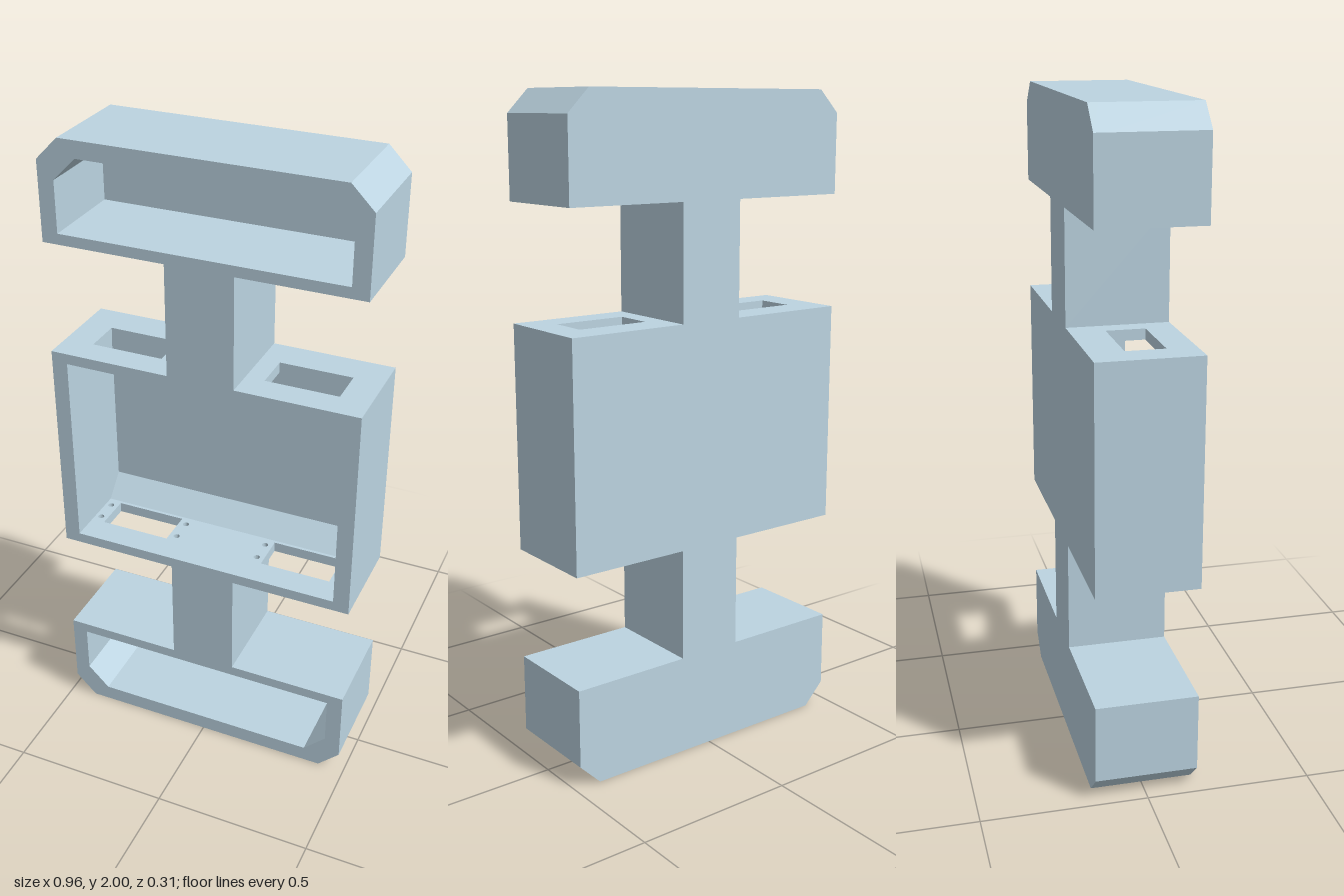
import * as THREE from 'three';

const W = 0.482, ZB = -0.155, ZF = 0.155, ZI = -0.125; // half width, back, front, cavity back
const WALL = 0.033, CAVITY = 0.432;                    // shelf thickness, cavity half width
const Y_TRAY = 0.31, Y_BOX = 0.657, Y_BOX_TOP = 1.343, Y_TOP_TRAY = 1.69;

function polygon(points, Type = THREE.Shape) {
  return new Type(points.map(([x, y]) => new THREE.Vector2(x, y)));
}

// Block outline with its two outer corners cut; dir +1 cuts the top, -1 the bottom
function cutBlock(w, yFlat, yCut, cut, dir, Type) {
  const points = [
    [-w, yFlat], [w, yFlat], [w, yCut - dir * cut], [w - cut, yCut],
    [-w + cut, yCut], [-w, yCut - dir * cut],
  ];
  return polygon(dir > 0 ? points : points.reverse(), Type);
}

function rectangle(x0, x1, y0, y1, Type) {
  return polygon([[x0, y0], [x1, y0], [x1, y1], [x0, y1]], Type);
}

export function createModel() {
  const group = new THREE.Group();
  const paint = new THREE.MeshStandardMaterial({ color: 0xbcd4e1 });
  paint.name = 'pale blue grey';

  const add = (name, geometry) => {
    const mesh = new THREE.Mesh(geometry, paint);
    mesh.name = name;
    group.add(mesh);
  };
  const extrude = (shape, z0, z1) =>
    new THREE.ExtrudeGeometry(shape, { depth: z1 - z0, bevelEnabled: false, curveSegments: 8 })
      .translate(0, 0, z0);
  const box = (x0, x1, y0, y1, z0, z1) =>
    new THREE.BoxGeometry(x1 - x0, y1 - y0, z1 - z0)
      .translate((x0 + x1) / 2, (y0 + y1) / 2, (z0 + z1) / 2);

  // End trays: hollow blocks with cut corners, open at the front
  for (const [name, yFlat, yCut, dir] of [['top', Y_TOP_TRAY, 2, 1], ['bottom', Y_TRAY, 0, -1]]) {
    const rim = cutBlock(W, yFlat, yCut, 0.068, dir);
    rim.holes.push(cutBlock(CAVITY, yFlat + dir * WALL, yCut - dir * 0.051, 0.07, dir, THREE.Path));
    add(name + 'TrayRim', extrude(rim, ZI, ZF));
    add(name + 'TrayBack', extrude(cutBlock(W, yFlat, yCut, 0.068, dir), ZB, ZI));
  }

  // Solid necks joining the trays to the central box
  add('upperNeck', box(-0.104, 0.104, Y_BOX_TOP, Y_TOP_TRAY, ZB, ZF));
  add('lowerNeck', box(-0.104, 0.104, Y_TRAY, Y_BOX, ZB, ZF));

  // Central box: back and sides
  add('boxBack', box(-W, W, Y_BOX, Y_BOX_TOP, ZB, ZI));
  add('boxLeftSide', box(CAVITY, W, Y_BOX + WALL, Y_BOX_TOP - WALL, ZI, ZF));
  add('boxRightSide', box(-W, -CAVITY, Y_BOX + WALL, Y_BOX_TOP - WALL, ZI, ZF));

  // Slotted walls in two layers; the inner layer carries blind screw holes
  const slottedLayer = (name, yTop, withScrews) => {
    const plate = rectangle(-W, W, ZI, ZF);
    for (const s of [-1, 1]) {
      plate.holes.push(rectangle(s * 0.163, s * 0.389, -0.05, 0.068, THREE.Path));
      if (!withScrews) continue;
      for (const x of [0.139, 0.413]) {
        for (const z of [-0.027, 0.043]) {
          plate.holes.push(new THREE.Path().absarc(s * x, z, 0.01, 0, Math.PI * 2));
        }
      }
    }
    add(name, extrude(plate, 0, WALL / 2).rotateX(Math.PI / 2).translate(0, yTop, 0));
  };
  slottedLayer('boxTopOuter', Y_BOX_TOP, false);
  slottedLayer('boxTopInner', Y_BOX_TOP - WALL / 2, true);
  slottedLayer('boxFloorInner', Y_BOX + WALL, true);
  slottedLayer('boxFloorOuter', Y_BOX + WALL / 2, false);

  // Sloping fillet along the back of the box floor
  const yFloor = Y_BOX + WALL;
  const wedge = polygon([[-ZI, yFloor], [-ZI, 0.759], [0.06, yFloor]]);
  add('floorSlope', extrude(wedge, -CAVITY, CAVITY).rotateY(Math.PI / 2));

  return group;
}
